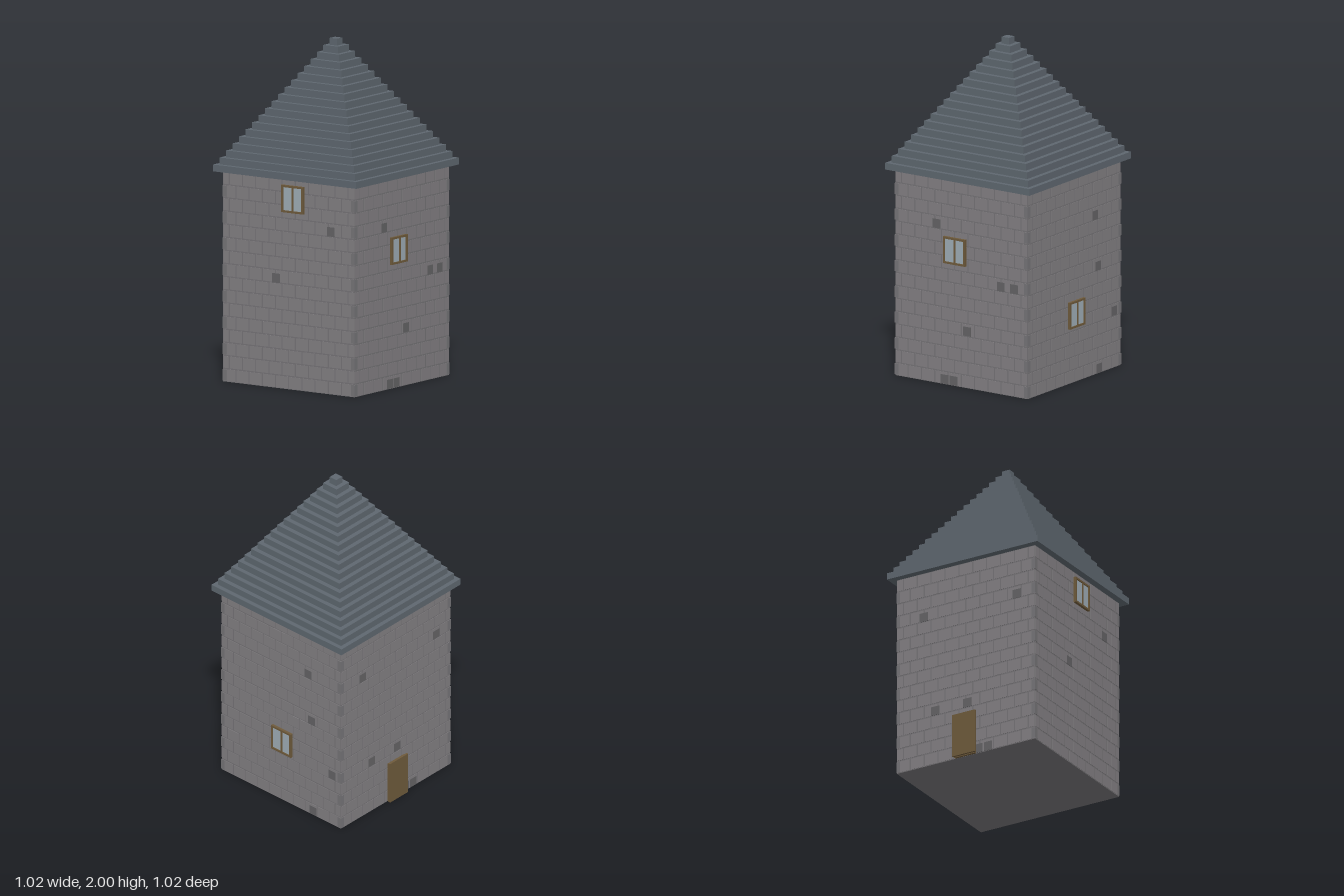
import * as THREE from 'three';
import { mergeGeometries } from 'three/addons/utils/BufferGeometryUtils.js';

const HALF = 0.47, WALL_H = 1.235, COURSES = 16;
const mat = (color) => new THREE.MeshStandardMaterial({ color });
const M = {
  mortar: mat(0x757376), brick: mat(0x827f82), quoin: mat(0x757477), stone: mat(0x646365),
  roof: mat(0x5e676f), wood: mat(0x6e5a3b), glass: mat(0x9eacb5),
};

function boxGeo(w, h, d, x, y, z) {
  return new THREE.BoxGeometry(w, h, d).translate(x, y, z);
}
function add(parent, name, geos, material) {
  const mesh = new THREE.Mesh(Array.isArray(geos) ? mergeGeometries(geos) : geos, material);
  mesh.name = name;
  parent.add(mesh);
}

// Running-bond bricks, barely proud of the mortar
function brickwork() {
  const geos = [], h = WALL_H / COURSES, pitch = 0.094, gap = 0.008;
  for (let r = 0; r < COURSES; r++) {
    const shift = r % 2 ? pitch / 2 : 0;
    for (let i = 0; i <= 10; i++) {
      const a = Math.max(-HALF, -HALF + i * pitch - shift);
      const b = Math.min(HALF, -HALF + (i + 1) * pitch - shift);
      if (b - a < 0.02) continue;
      geos.push(boxGeo(b - a - gap, h - gap, 0.002, (a + b) / 2, (r + 0.5) * h, HALF - 0.001));
    }
  }
  return geos;
}

// Framed window with two panes
function makeWindow(x, y) {
  const g = new THREE.Group(), w = 0.155, h = 0.16, t = 0.012, d = 0.016;
  g.name = 'window';
  const z = HALF + d / 2;
  add(g, 'windowFrame', [
    boxGeo(w, t, d, 0, h / 2 - t / 2, z), boxGeo(w, t, d, 0, -h / 2 + t / 2, z),
    boxGeo(t, h - 2 * t, d, -w / 2 + t / 2, 0, z), boxGeo(t, h - 2 * t, d, w / 2 - t / 2, 0, z),
    boxGeo(t * 0.8, h - 2 * t, d, 0.003, 0, z),
  ], M.wood);
  add(g, 'windowPanes', boxGeo(w - t, h - t, 0.01, 0, 0, HALF + 0.005), M.glass);
  g.position.set(x, y, 0);
  return g;
}

// Door leaf on a slightly smaller backing
function makeDoor() {
  const g = new THREE.Group();
  g.name = 'door';
  add(g, 'doorBacking', boxGeo(0.14, 0.26, 0.014, 0, 0.13, HALF + 0.007), M.wood);
  add(g, 'doorLeaf', boxGeo(0.155, 0.265, 0.012, 0, 0.1375, HALF + 0.02), M.wood);
  return g;
}

export function createModel() {
  const tower = new THREE.Group();
  tower.name = 'tower';

  // Solid wall core
  const core = 2 * (HALF - 0.002);
  add(tower, 'wallCore', boxGeo(core, WALL_H, core, 0, WALL_H / 2, 0), M.mortar);

  // Each face: dark stones as [x, y] in face coordinates, plus its opening
  const faces = [
    { name: 'frontWall', angle: 0, opening: makeWindow(-0.042, 0.81),
      stones: [[-0.175, 0.955], [0.28, 0.645], [0.375, 0.645], [0.04, 0.34], [-0.12, 0.03], [-0.055, 0.03]] },
    { name: 'rightSideWall', angle: Math.PI / 2, opening: makeWindow(0.0125, 0.41),
      stones: [[0.21, 0.955], [0.24, 0.645], [0.4, 0.34], [0.25, 0.03]] },
    { name: 'backWall', angle: Math.PI, opening: makeDoor(),
      stones: [[-0.284, 0.955], [0.346, 0.955], [-0.206, 0.34], [0.01, 0.34], [0.085, 0.03], [0.15, 0.03]] },
    { name: 'leftSideWall', angle: -Math.PI / 2, opening: makeWindow(0.035, 1.12),
      stones: [[0.3, 0.955], [-0.09, 0.645]] },
  ];
  for (const f of faces) {
    const wall = new THREE.Group();
    wall.name = f.name;
    wall.rotation.y = f.angle;
    add(wall, 'bricks', brickwork(), M.brick);
    add(wall, 'darkStones', f.stones.map(([x, y]) => boxGeo(0.055, 0.055, 0.004, x, y, HALF - 0.001)), M.stone);
    wall.add(f.opening);
    tower.add(wall);
  }

  // Corner quoins on every other course
  const quoins = [], h = WALL_H / COURSES;
  for (const sx of [-1, 1]) for (const sz of [-1, 1])
    for (let r = 0; r < COURSES; r += 2)
      quoins.push(boxGeo(0.026, h * 0.85, 0.026, sx * (HALF - 0.0125), (r + 0.5) * h, sz * (HALF - 0.0125)));
  add(tower, 'cornerQuoins', quoins, M.quoin);

  // Stepped pyramid roof
  const steps = 19, stepH = (2 - WALL_H) / steps, roof = [];
  for (let i = 0; i < steps; i++) {
    const w = 2 * THREE.MathUtils.lerp(0.51, 0.026, i / (steps - 1));
    roof.push(boxGeo(w, stepH, w, 0, WALL_H + (i + 0.5) * stepH, 0));
  }
  add(tower, 'steppedRoof', roof, M.roof);
  return tower;
}
